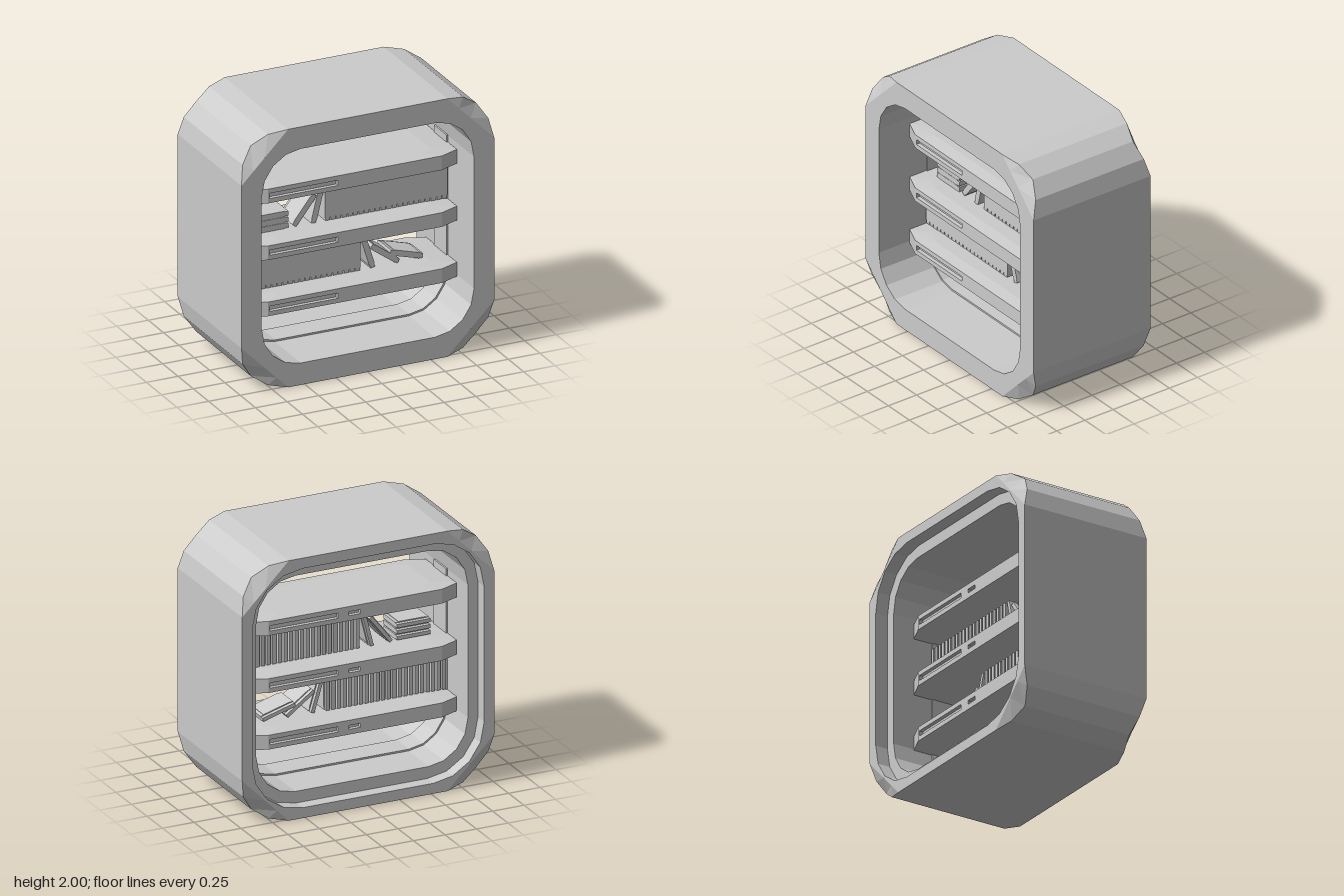
import * as THREE from 'three';

const grey = new THREE.MeshStandardMaterial({ color: 0xcccccc, flatShading: true });

function add(parent, name, geometry, x = 0, y = 0, z = 0) {
  const mesh = new THREE.Mesh(geometry, grey);
  mesh.name = name;
  mesh.position.set(x, y, z);
  parent.add(mesh);
  return mesh;
}

// Skin over a list of equal-length rings of [x, y, z]
function loft(rings) {
  const pos = [], index = [], n = rings[0].length;
  rings.forEach(r => r.forEach(p => pos.push(...p)));
  for (let i = 0; i < rings.length - 1; i++) {
    for (let j = 0; j < n; j++) {
      const a = i * n + j, b = i * n + (j + 1) % n;
      index.push(a, b, b + n, a, b + n, a + n);
    }
  }
  const g = new THREE.BufferGeometry();
  g.setAttribute('position', new THREE.Float32BufferAttribute(pos, 3));
  g.setIndex(index);
  const flat = g.toNonIndexed();
  flat.computeVertexNormals();
  return flat;
}

// Rounded rectangle, counter-clockwise, four segments per corner.
// h = half sizes, c = half lengths of the straight runs, bevel = chord corners
const SEG = 4;
function ring(hx, hy, cx, cy, zAt, chord = false) {
  const pts = [];
  for (let k = 0; k < 4; k++) {
    for (let s = 0; s <= SEG; s++) {
      const t = s / SEG, a = t * Math.PI / 2;
      let u = chord ? 1 - t : Math.cos(a), v = chord ? t : Math.sin(a);
      if (k % 2) [u, v] = [v, u];
      const sx = k === 0 || k === 3 ? 1 : -1, sy = k < 2 ? 1 : -1;
      pts.push([sx * (cx + u * (hx - cx)), sy * (cy + v * (hy - cy)), zAt(s)]);
    }
  }
  return pts;
}

const poly = pts => new THREE.Shape(pts.map(p => new THREE.Vector2(p[0], p[1])));
const rectPts = (x0, x1, y0, y1) => [[x0, y0], [x1, y0], [x1, y1], [x0, y1]];
const extrude = (shape, depth) => new THREE.ExtrudeGeometry(shape, { depth, bevelEnabled: false });

// Outer frame: faceted corners fall back from the front and rear faces
function frameGeometry() {
  const D = 0.52, dip = [0.52, 0.48, 0.445, 0.48, 0.52];
  const flat = z => () => z;
  return loft([
    ring(1, 1, 0.63, 0.63, flat(-D), true),
    ring(1, 1, 0.63, 0.63, s => -dip[s]),
    ring(1, 1, 0.63, 0.63, s => dip[s]),
    ring(1, 1, 0.63, 0.63, flat(D), true),
    ring(0.84, 0.83, 0.53, 0.51, flat(D)),
    ring(0.84, 0.83, 0.53, 0.51, flat(-0.42)),
    ring(0.92, 0.92, 0.52, 0.52, flat(-0.42)),
    ring(0.92, 0.92, 0.52, 0.52, flat(-D)),
    ring(1, 1, 0.63, 0.63, flat(-D), true),
  ]);
}

// Thin U-shaped liner following the lower inside of the frame
function linerGeometry() {
  const half = inset => {
    const low = ring(0.84 - inset, 0.83 - inset, 0.53, 0.51, () => 0).slice(2 * (SEG + 1));
    return [[-0.84 + inset, 0.52], ...low, [0.84 - inset, 0.52]];
  };
  return extrude(poly([...half(0.003), ...half(0.016).reverse()]), 0.2);
}

// Shelf with chamfered ends, shallow pitched pads and slotted fascias
function makeShelf() {
  const shelf = new THREE.Group();
  const W = 0.835, X = 0.69, Z = 0.31, E = 0.25, H = 0.055, P = 0.03;
  const plan = [[W, -E], [W, E], [X, Z], [X, Z - P], [-X, Z - P], [-X, Z],
    [-W, E], [-W, -E], [-X, -Z], [-X, P - Z], [X, P - Z], [X, -Z]];
  add(shelf, 'shelfBody', extrude(poly(plan), 2 * H).rotateX(-Math.PI / 2), 0, -H, 0);

  const octagon = (w, x, e, z, y) => [[w, e], [w, -e], [x, -z], [-x, -z],
    [-w, -e], [-w, e], [-x, z], [x, z]].map(p => [p[0], y, p[1]]);
  const top = octagon(0.66, 0.56, 0.17, 0.22, 0.069);
  const pad = loft([octagon(W, X, E, Z, H), top, top.map(() => [0, 0.069, 0])]);
  add(shelf, 'shelfTop', pad);
  add(shelf, 'shelfUnderside', pad).rotation.x = Math.PI;

  for (const rear of [false, true]) {
    const face = poly(rectPts(-X, X, -H, H));
    face.holes.push(poly(rectPts(-0.675, -0.135, -0.02, 0.02)));
    if (rear) face.holes.push(poly(rectPts(-0.05, 0.04, -0.015, 0.015)));
    const g = extrude(face, P).translate(0, 0, Z - P);
    add(shelf, rear ? 'rearFascia' : 'frontFascia', g).rotation.y = rear ? Math.PI : 0;
  }
  return shelf;
}

// Book: block with narrowed head and foot, and a narrower spine at the rear
const T = 0.044, BH = 0.265;
const bookBlock = (() => {
  const w = T / 2, n = w - 0.004, h = BH / 2, m = h - 0.025;
  return extrude(poly([[-n, -h], [n, -h], [n, -m], [w, -m], [w, m], [n, m],
    [n, h], [-n, h], [-n, m], [-w, m], [-w, -m], [-n, -m]]), 0.19).translate(0, 0, -0.08);
})();
const bookSpine = new THREE.BoxGeometry(T - 0.016, BH, 0.03).translate(0, 0, -0.095);

function addBook(parent, x, y, degrees = 0) {
  const book = new THREE.Group();
  book.name = 'book';
  add(book, 'bookBlock', bookBlock);
  add(book, 'bookSpine', bookSpine);
  book.position.set(x, y, 0);
  book.rotation.z = THREE.MathUtils.degToRad(degrees);
  parent.add(book);
}

export function createModel() {
  const model = new THREE.Group();
  model.name = 'shelfUnit';
  add(model, 'frame', frameGeometry(), 0, 1, 0);
  add(model, 'liner', linerGeometry(), 0, 1, -0.1);

  [1.41, 0.97, 0.535].forEach((y, i) => {
    const shelf = makeShelf();
    shelf.name = 'shelf' + (i + 1);
    shelf.position.y = y;
    model.add(shelf);
  });

  const books = new THREE.Group();
  books.name = 'books';
  model.add(books);

  // Upright rows
  for (let i = 0; i < 22; i++) {
    addBook(books, -0.118 + i * T, 1.168);
    addBook(books, 0.118 - i * T, 0.733);
  }
  // Flat stack
  for (let i = 0; i < 3; i++) addBook(books, -0.563, 1.06 + i * 0.046, 90);
  // Leaning books: x, y, tilt
  [[-0.2, 1.167, -14], [-0.303, 1.152, -38],
    [0.2, 0.735, 17], [0.335, 0.695, 54], [0.505, 0.66, 74]]
    .forEach(b => addBook(books, ...b));

  return model;
}
